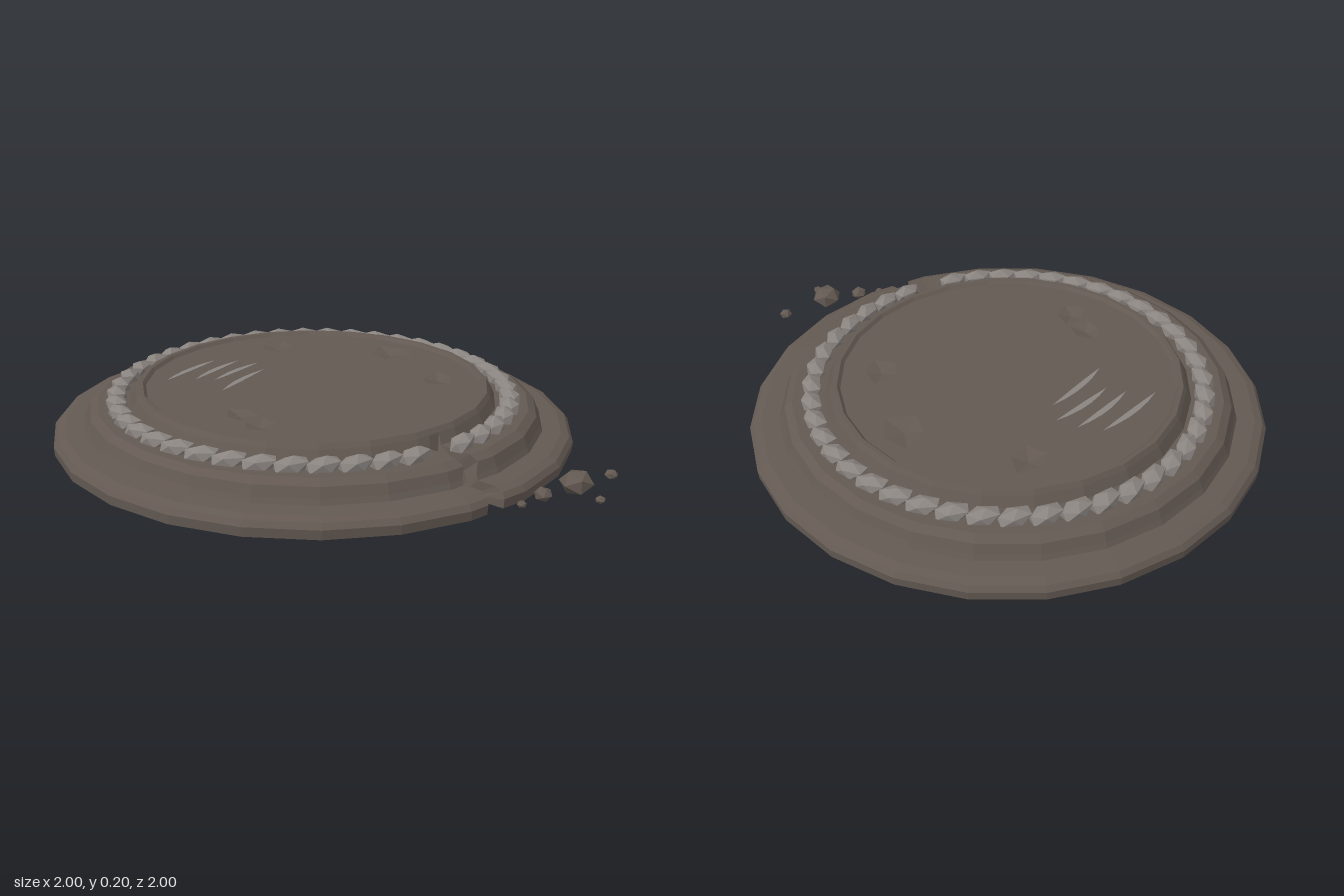
import * as THREE from 'three';

const stone = new THREE.MeshStandardMaterial({ color: 0x635952 });
stone.name = 'brownStone';
const pale = new THREE.MeshStandardMaterial({ color: 0x8a8480 });
pale.name = 'paleStone';

const RAD = Math.PI / 180;
const TOP = 0.19; // height of the recessed floor

function flat(geometry) {
  const g = geometry.index ? geometry.toNonIndexed() : geometry;
  g.computeVertexNormals();
  return g;
}

function add(parent, name, geometry, material) {
  const mesh = new THREE.Mesh(geometry, material);
  mesh.name = name;
  parent.add(mesh);
  return mesh;
}

// Profile rows: radius, height, then radius and height inside the crack
const PROFILE = [
  [0, 0, 0, 0], [0.997, 0, 0.93, 0], [1, 0.035, 0.92, 0.02], [0.985, 0.055, 0.91, 0.03],
  [0.955, 0.066, 0.9, 0.035], [0.885, 0.069, 0.86, 0.04], [0.875, 0.088, 0.84, 0.05],
  [0.86, 0.125, 0.81, 0.08], [0.83, 0.145, 0.78, 0.1], [0.705, 0.145, 0.7, 0.125],
  [0.685, 0.185, 0.685, 0.185], [0.672, 0.203, 0.672, 0.203], [0.655, 0.203, 0.655, 0.203],
  [0.643, TOP, 0.643, TOP], [0.63, TOP, 0.63, TOP],
];
const JAG = [0, 0, 0, 0.3, 0.3, -0.6, -0.4, 0.8, 0.2, -0.8, 0, 0, 0, 0, 0];

// Stepped 24-sided base; four extra columns form the jagged crack
function baseGeometry() {
  const columns = [];
  for (let i = 0; i <= 24; i++) {
    columns.push({ angle: i * 15 });
    if (i === 1) {
      columns.push({ angle: 19.4, cut: 1 }, { angle: 20, cut: 1, sunk: 1 },
        { angle: 23.2, cut: 1, sunk: 1 }, { angle: 23.9, cut: 1 });
    }
  }
  const pos = [], index = [], rows = PROFILE.length;
  for (const { angle, cut, sunk } of columns) {
    PROFILE.forEach(([r, y, rs, ys], j) => {
      const a = angle + (cut ? JAG[j] : 0);
      const chord = cut ? Math.cos(7.5 * RAD) / Math.cos((a - 22.5) * RAD) : 1;
      const radius = (sunk ? rs : r) * chord;
      pos.push(radius * Math.sin(a * RAD), sunk ? ys : y, radius * Math.cos(a * RAD));
    });
  }
  for (let i = 0; i < columns.length - 1; i++) {
    for (let j = 0; j < rows - 1; j++) {
      const a = i * rows + j, b = a + rows;
      if (j > 0) index.push(a, b, b + 1);
      index.push(a, b + 1, a + 1);
    }
  }
  const g = new THREE.BufferGeometry();
  g.setAttribute('position', new THREE.Float32BufferAttribute(pos, 3));
  g.setIndex(index);
  return flat(g);
}

// Corners of a shallow dent, as [x, z]
function dentCorners([cx, cz, size, turn]) {
  return [1, 0.8, 1.1, 0.75, 0.95].map((k, i) => {
    const a = turn + i * 72 * RAD;
    return [cx + size * k * Math.sin(a), cz + size * k * Math.cos(a)];
  });
}

// Fan of faces sinking to the middle of a dent
function dentGeometry(dent) {
  const c = dentCorners(dent), pos = [];
  c.forEach((p, i) => {
    const q = c[(i + 1) % c.length];
    pos.push(dent[0], TOP - 0.014, dent[1], p[0], TOP, p[1], q[0], TOP, q[1]);
  });
  const g = new THREE.BufferGeometry();
  g.setAttribute('position', new THREE.Float32BufferAttribute(pos, 3));
  return flat(g);
}

// Curved, pointed scratch between two points on the floor
function scratchGeometry([x1, z1, x2, z2]) {
  const dx = x2 - x1, dz = z2 - z1, len = Math.hypot(dx, dz);
  const nx = dz / len, nz = -dx / len;
  const mx = (x1 + x2) / 2, mz = (z1 + z2) / 2;
  const s = new THREE.Shape();
  s.moveTo(x1, -z1);
  s.quadraticCurveTo(mx + nx * 0.045, -(mz + nz * 0.045), x2, -z2);
  s.quadraticCurveTo(mx - nx * 0.006, -(mz - nz * 0.006), x1, -z1);
  const g = new THREE.ExtrudeGeometry(s, { depth: 0.003, bevelEnabled: false, curveSegments: 5 });
  return g.rotateX(-Math.PI / 2).translate(0, TOP, 0);
}

export function createModel() {
  const model = new THREE.Group();
  model.name = 'roundPlinth';
  add(model, 'steppedBase', baseGeometry(), stone);

  // Recessed floor with dents
  const dents = [[-0.01, -0.5, 0.08, 0], [0.42, -0.28, 0.1, 0.7], [0.48, 0.09, 0.08, 0.3],
    [-0.35, 0.26, 0.07, 1], [-0.31, 0.38, 0.07, 0.2]];
  const floor = new THREE.Shape();
  for (let i = 0; i < 24; i++) {
    const a = i * 15 * RAD;
    floor[i ? 'lineTo' : 'moveTo'](0.631 * Math.sin(a), 0.631 * Math.cos(a));
  }
  dents.forEach((d) => {
    const pts = dentCorners(d).map(([x, z]) => new THREE.Vector2(x, -z));
    floor.holes.push(new THREE.Path(pts));
    add(model, 'dent', dentGeometry(d), stone);
  });
  add(model, 'floor', new THREE.ShapeGeometry(floor).rotateX(-Math.PI / 2).translate(0, TOP, 0), stone);

  // Claw scratches
  [[-0.54, -0.18, -0.3, -0.38], [-0.43, -0.16, -0.21, -0.35],
    [-0.36, -0.13, -0.14, -0.3], [-0.36, 0, -0.14, -0.21]].forEach((s) => {
    add(model, 'scratch', scratchGeometry(s), pale);
  });

  // Twisted rope border, broken at the crack
  const rope = new THREE.Group();
  rope.name = 'ropeBorder';
  model.add(rope);
  const strand = flat(new THREE.IcosahedronGeometry(1, 0).rotateZ(0.35).scale(0.072, 0.034, 0.042).rotateZ(0.12));
  const count = 44;
  for (let i = 0; i < count; i++) {
    const deg = (i + 0.3) * 360 / count;
    if (deg > 18 && deg < 26) continue;
    const a = deg * RAD;
    const m = add(rope, 'ropeStrand', strand, pale);
    m.position.set(0.755 * Math.sin(a), 0.157, 0.755 * Math.cos(a));
    m.rotation.y = a + 0.3;
  }

  // Rubble fallen from the crack
  [[0.46, 0.015, 0.92, 0.018], [0.55, 0.03, 0.895, 0.034], [0.69, 0.045, 0.865, 0.062],
    [0.73, 0.016, 0.965, 0.019], [0.87, 0.02, 0.785, 0.026],
    [0.325, 0.155, 0.67, 0.03]].forEach(([x, y, z, r], i) => {
    const rock = flat(new THREE.IcosahedronGeometry(r, 0).rotateY(i * 1.3 + 0.4).scale(1, 0.75, 1));
    rock.computeBoundingBox();
    const lift = Math.max(y, -rock.boundingBox.min.y);
    add(model, 'rubble', rock, stone).position.set(x, lift, z);
  });
  return model;
}
